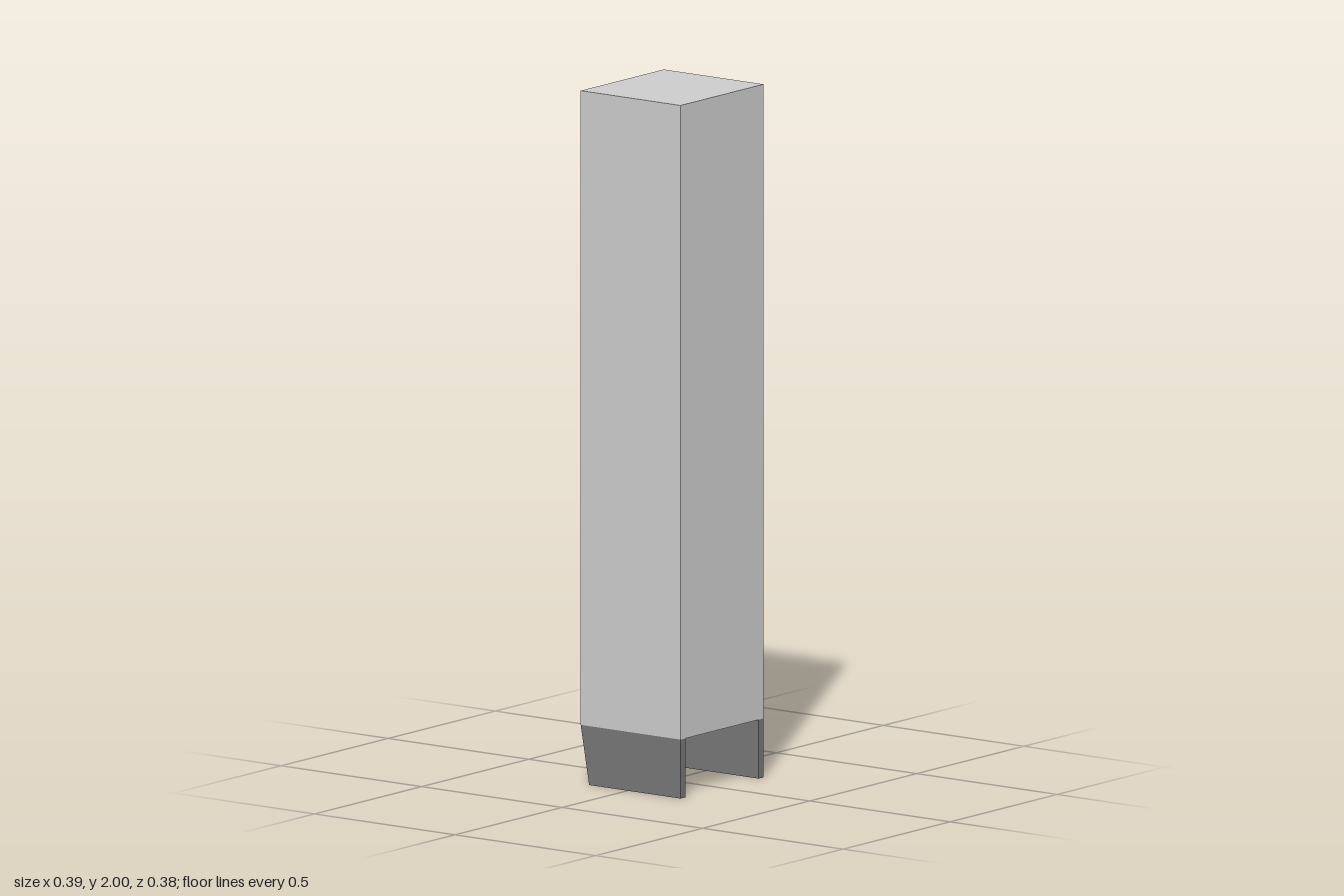
import * as THREE from 'three';

const grey = new THREE.MeshStandardMaterial({ color: 0xcccccc, flatShading: true });
const dark = new THREE.MeshStandardMaterial({ color: 0x767676, flatShading: true });

const HALF_W = 0.194;             // half width of the carcass
const FRONT = 0.188, BACK = -0.167;
const BASE = 0.17, TOP = 2;

function extrude(points, depth) {
  const shape = new THREE.Shape(points.map(([x, y]) => new THREE.Vector2(x, y)));
  return new THREE.ExtrudeGeometry(shape, { depth, bevelEnabled: false });
}

function add(group, name, geometry, material) {
  const mesh = new THREE.Mesh(geometry, material);
  mesh.name = name;
  group.add(mesh);
  return mesh;
}

export function createModel() {
  const model = new THREE.Group();
  model.name = 'locker';

  // Tall closed carcass
  const body = add(model, 'body', new THREE.BoxGeometry(HALF_W * 2, TOP - BASE, FRONT - BACK), grey);
  body.position.set(0, (TOP + BASE) / 2, (FRONT + BACK) / 2);

  // Thin door panel, slightly inset from the carcass outline
  const door = add(model, 'door', new THREE.BoxGeometry(0.372, TOP - BASE - 0.016, 0.007), grey);
  door.position.set(0, (TOP + BASE) / 2, BACK - 0.0035);

  // L-shaped pull: stem plus a lip with a tapered tip, drawn in plan
  const pull = extrude([
    [0.107, 0.174], [0.114, 0.174], [0.114, 0.183], [0.127, 0.183],
    [0.133, 0.184], [0.139, 0.188], [0.107, 0.188],
  ], 0.14).rotateX(-Math.PI / 2);
  add(model, 'handle', pull, grey).position.y = 0.98;

  // Side plinth panels, sloped back under the door
  const thickness = 0.023;
  for (const [name, outerX] of [['leftLeg', HALF_W], ['rightLeg', -HALF_W + thickness]]) {
    const leg = extrude([[-0.137, 0], [FRONT, 0], [FRONT, BASE], [BACK, BASE]], thickness)
      .rotateY(-Math.PI / 2);
    add(model, name, leg, dark).position.x = outerX;
  }

  return model;
}
